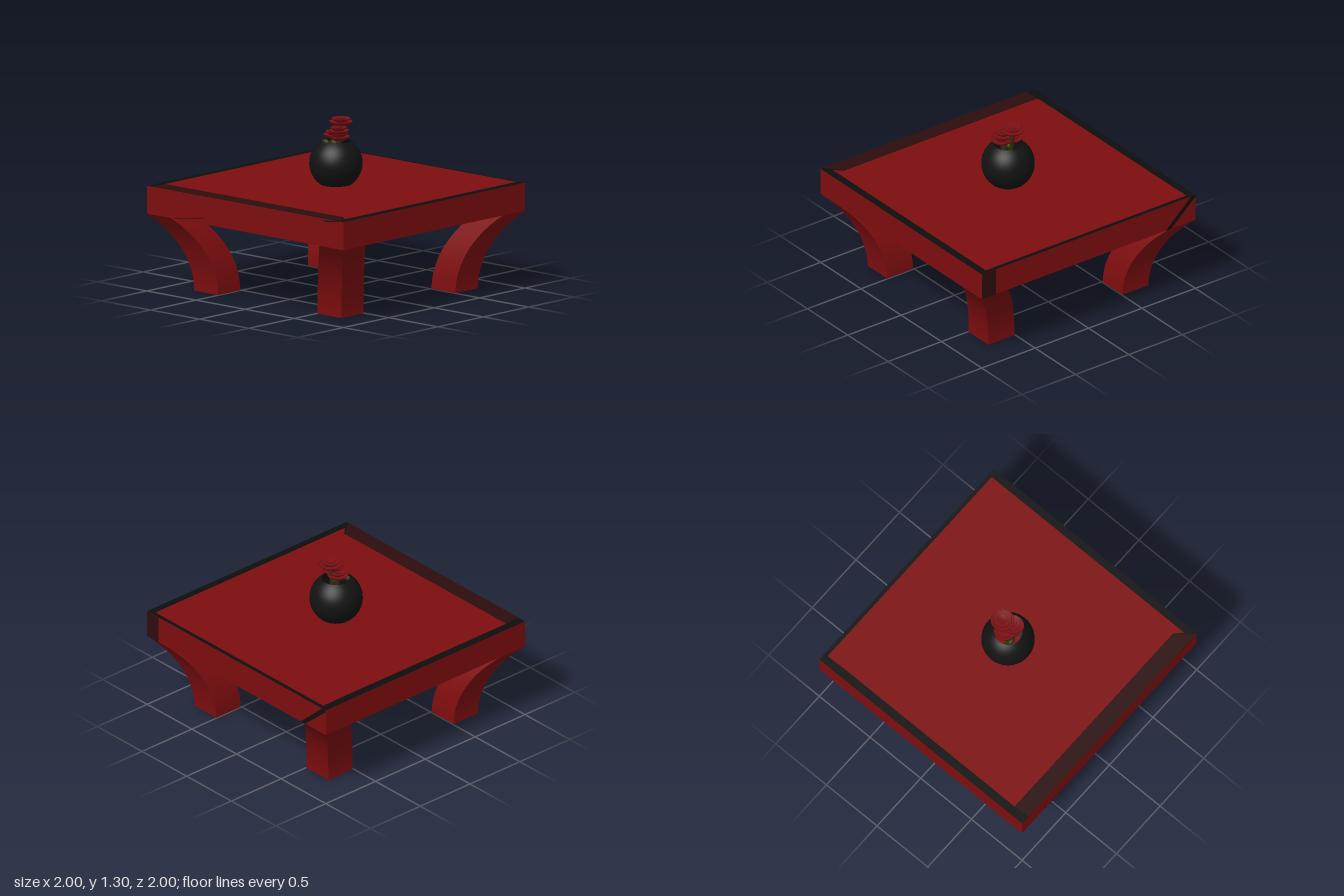
import * as THREE from 'three';

const mat = (name, color, side = THREE.FrontSide) => {
  const m = new THREE.MeshStandardMaterial({ color, side });
  m.name = name;
  return m;
};

export function createModel() {
  const root = new THREE.Group();
  root.name = 'tableWithVase';
  const red = mat('lacquer red', 0x7d0d0f);
  const black = mat('black', 0x0e0e0e);
  const dark = mat('dark maroon', 0x2c0d0d);
  const glaze = mat('vase black', 0x121212, THREE.DoubleSide);
  const petal = mat('rose red', 0x7a0f14, THREE.DoubleSide);
  const green = mat('stem olive', 0x2f300e);

  const add = (name, geo, material, parent = root) => {
    const mesh = new THREE.Mesh(geo, material);
    mesh.name = name;
    parent.add(mesh);
    return mesh;
  };

  const LEG = 0.59, TOP = 0.804, W = 0.244, LEAN = 0.25;

  // Slab: red all round, black on top
  const slab = new THREE.BoxGeometry(2, TOP - LEG, 2);
  slab.translate(0, (TOP + LEG) / 2, 0);
  add('tableTop', slab, [red, red, black, red, red, red]);

  // Flat painted inlays, laid on a face of the slab
  const inlay = (name, material, pts, face) => {
    const geo = new THREE.ShapeGeometry(new THREE.Shape(pts.map(p => new THREE.Vector2(...p))));
    const e = 0.002;
    if (face === 'top') geo.rotateX(-Math.PI / 2).translate(0, TOP + e, 0);
    if (face === 'bottom') geo.rotateX(Math.PI / 2).translate(0, LEG - e, 0);
    if (face === 'front') geo.translate(0, 0, 1 + e);
    if (face === 'back') geo.rotateY(Math.PI).translate(0, 0, -1 - e);
    add(name, geo, material);
  };
  // Top points are (x, -z)
  inlay('topPanel', red, [[-0.935, -0.87], [0.94, -0.87], [0.94, 0.97], [-0.94, 0.97], [-0.935, 0.82]], 'top');
  inlay('frontBand', dark, [[-0.93, -1], [0.98, -1], [0.87, -0.872], [-0.93, -0.872]], 'top');
  inlay('cornerFacet', red, [[0.88, -0.87], [0.94, -0.93], [0.94, -0.87]], 'top');
  // Underside stripes, points are (x, z)
  for (const s of [-1, 1])
    inlay('undersideStripe', black, [[s * 0.73, -1], [s * 0.755, -1], [s * 0.755, 1], [s * 0.73, 1]], 'bottom');
  inlay('undersideDiagonal', black, [[0.75, -0.73], [0.73, -0.75], [-0.75, 0.73], [-0.73, 0.75]], 'bottom');
  // Marks on the front and back edges (back points are mirrored in x)
  inlay('frontSliver', black, [[-0.75, LEG], [-0.7, LEG], [-0.36, 0.64]], 'front');
  inlay('frontSliver', black, [[0.76, 0.785], [0.86, 0.785], [1, TOP], [0.9, 0.8]], 'front');
  inlay('backCorner', dark, [[-1, LEG], [-0.87, LEG], [-0.87, TOP], [-1, TOP]], 'back');
  inlay('backDiagonal', black, [[0.72, LEG], [0.77, LEG], [1, 0.79], [1, TOP], [0.96, TOP]], 'back');

  // Legs: square posts curving diagonally out to the corners along an arc
  const R = (LEG * LEG + LEAN * LEAN) / (2 * LEAN);
  for (const sx of [-1, 1]) for (const sz of [-1, 1]) {
    const geo = new THREE.BoxGeometry(W, LEG, W, 1, 16, 1);
    geo.translate(0, LEG / 2, 0);
    const p = geo.attributes.position;
    for (let i = 0; i < p.count; i++) {
      const y = p.getY(i);
      const c = 1 - LEAN - W / 2 + R - Math.sqrt(R * R - y * y);
      p.setXYZ(i, p.getX(i) + sx * c, y, p.getZ(i) + sz * c);
    }
    geo.computeVertexNormals();
    add('leg', geo, red);
  }

  // Vase: sphere cut flat at foot and mouth
  const r = 0.2, cy = 0.968;
  const a0 = Math.asin((TOP - cy) / r), a1 = Math.asin((1.135 - cy) / r);
  const profile = [new THREE.Vector2(0, TOP)];
  for (let i = 0; i <= 20; i++) {
    const a = a0 + (a1 - a0) * i / 20;
    profile.push(new THREE.Vector2(r * Math.cos(a), cy + r * Math.sin(a)));
  }
  add('vase', new THREE.LatheGeometry(profile, 40), glaze);

  // Roses: stacked shallow cups, each on a curved stem
  const cup = (rad, h) => new THREE.LatheGeometry(
    [[0, 0], [0.55, 0.05], [0.8, 0.4], [1, 0.9], [0.94, 1], [0.75, 0.8], [0, 0.75]]
      .map(([x, y]) => new THREE.Vector2(x * rad, y * h)), 20);
  const roses = [
    [0, 1.245, -0.055, 0.09], [0.037, 1.19, 0.01, 0.078],
    [-0.03, 1.15, -0.01, 0.08], [0.05, 1.148, 0.015, 0.078]];
  for (const [x, y, z, rad] of roses) {
    const rose = new THREE.Group();
    rose.name = 'rose';
    rose.position.set(x, y, z);
    add('outerPetals', cup(rad, 0.034), petal, rose);
    add('innerPetals', cup(rad * 0.8, 0.03), petal, rose).position.y = 0.027;
    add('heart', cup(rad * 0.4, 0.02), petal, rose).position.y = 0.04;
    root.add(rose);
    const path = new THREE.CatmullRomCurve3([
      new THREE.Vector3(-x * 0.5, 0.83, -z * 0.5),
      new THREE.Vector3(x * 0.5, 1.05, z * 0.5),
      new THREE.Vector3(x, y + 0.01, z)]);
    add('stem', new THREE.TubeGeometry(path, 10, 0.018, 8), green);
  }
  // Leaves at the mouth of the vase
  for (const [x, z] of [[-0.04, 0.07], [0.02, 0.05], [0, -0.03]]) {
    const leaf = add('leaf', new THREE.SphereGeometry(0.035, 12, 8), green);
    leaf.scale.set(1, 0.7, 0.6);
    leaf.position.set(x, 1.13, z);
  }
  return root;
}
